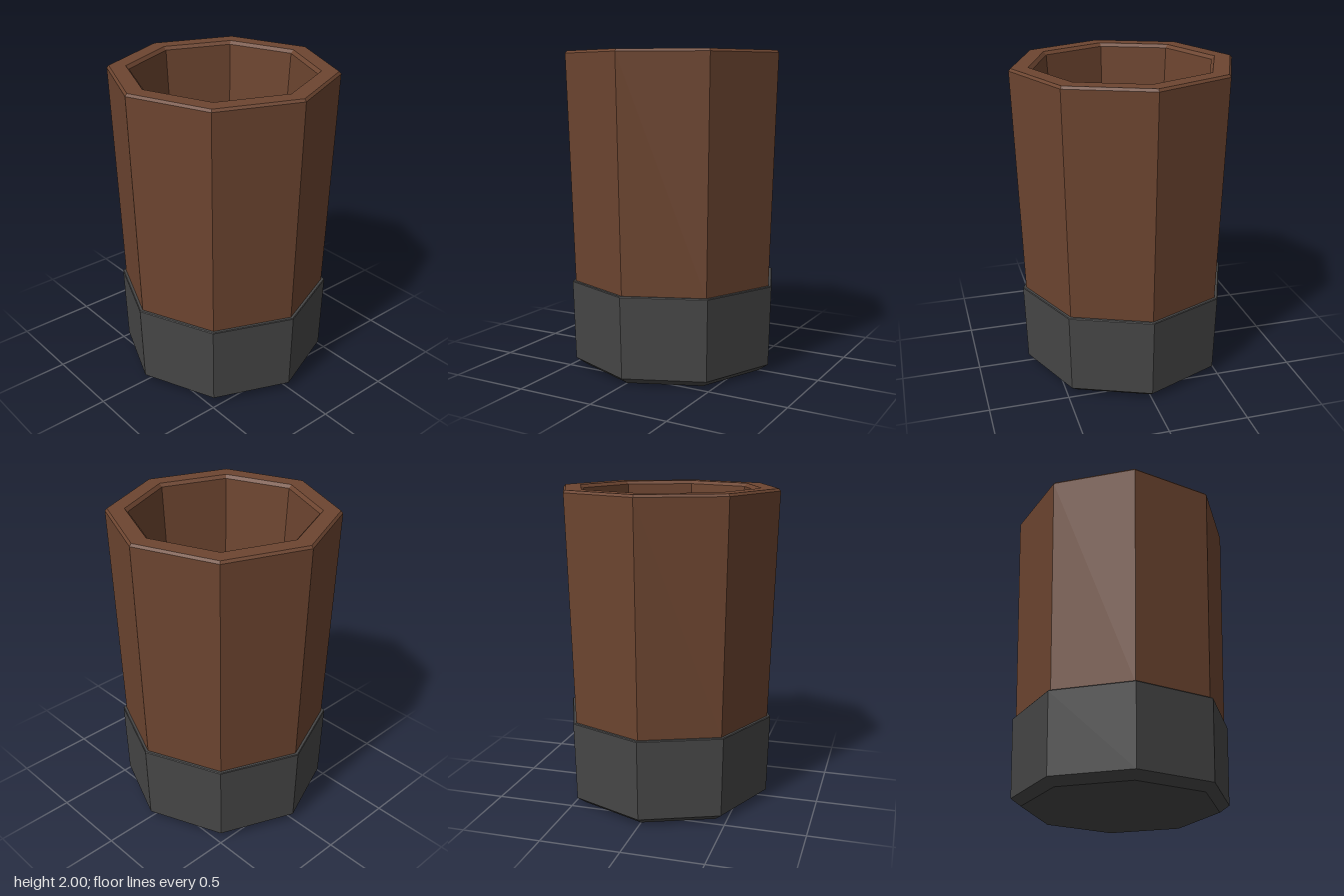
import * as THREE from 'three';

const SIDES = 8;

// Faceted octagonal shell turned from a [radius, height] profile
function shell(name, profile, material) {
  const points = profile.map(([r, y]) => new THREE.Vector2(r, y));
  const geometry = new THREE.LatheGeometry(points, SIDES).toNonIndexed();
  geometry.computeVertexNormals();
  const mesh = new THREE.Mesh(geometry, material);
  mesh.name = name;
  return mesh;
}

export function createModel() {
  const brown = new THREE.MeshStandardMaterial({ color: 0x6d4530, flatShading: true });
  brown.name = 'brown';
  const charcoal = new THREE.MeshStandardMaterial({ color: 0x464646, flatShading: true });
  charcoal.name = 'charcoal';

  const group = new THREE.Group();
  group.name = 'cup';

  // Dark base with a bevelled foot and a small ledge on top
  group.add(shell('base', [
    [0, 0], [0.605, 0], [0.667, 0.045], [0.682, 0.55], [0.678, 0.555], [0.655, 0.555],
  ], charcoal));

  // Hollow body: outer wall, bevelled rim, inner wall, floor
  group.add(shell('body', [
    [0.661, 0.55], [0.705, 1.985], [0.692, 2], [0.588, 2], [0.568, 1.98], [0.448, 0.15], [0, 0.15],
  ], brown));

  return group;
}
